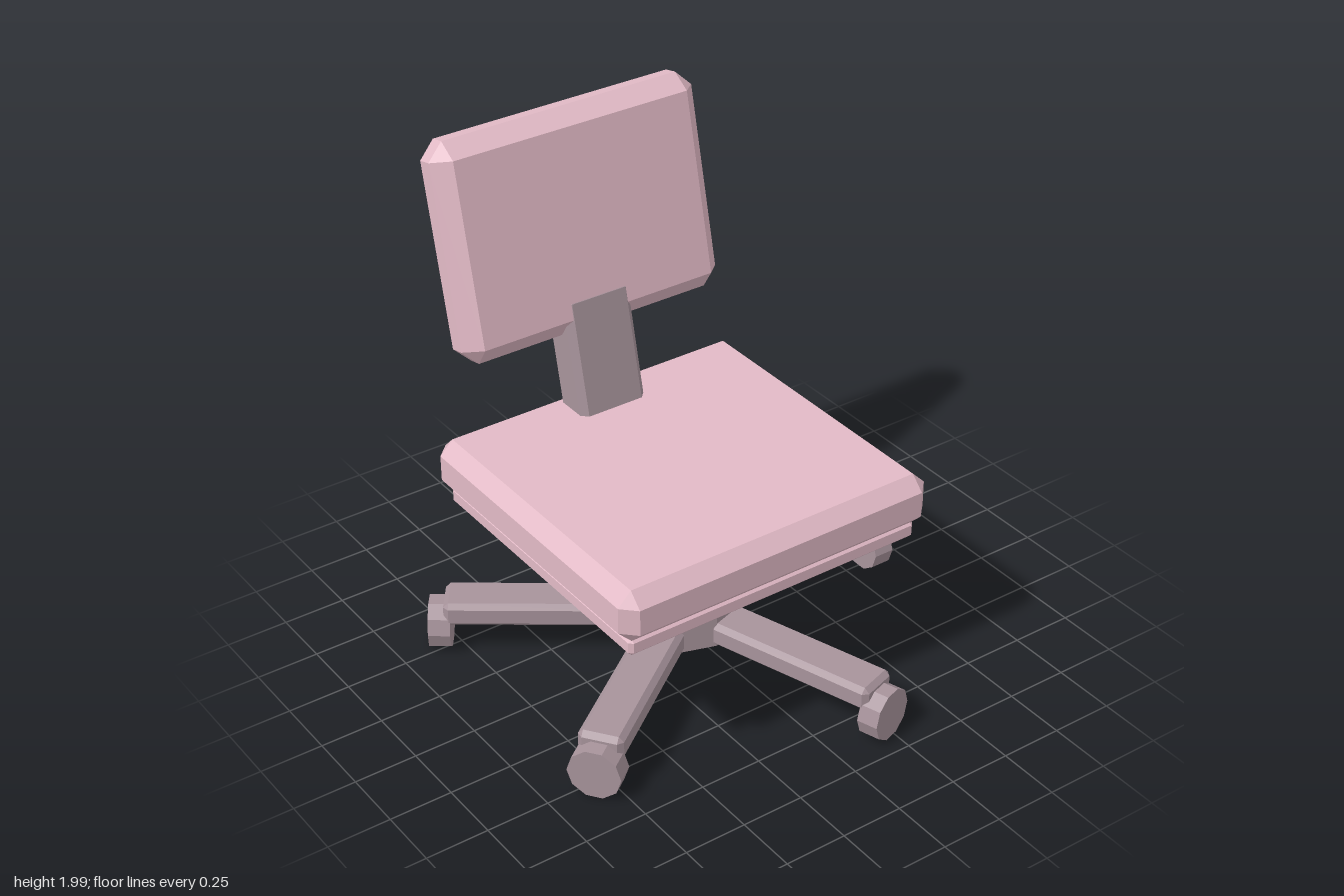
import * as THREE from 'three';
import { ConvexGeometry } from 'three/addons/geometries/ConvexGeometry.js';

const cushion = new THREE.MeshStandardMaterial({ name: 'pink upholstery', color: 0xe2bac6, flatShading: true });
const frame = new THREE.MeshStandardMaterial({ name: 'mauve grey frame', color: 0xa7939b, flatShading: true });
const metal = new THREE.MeshStandardMaterial({ name: 'pale lever', color: 0xd6cacd, flatShading: true });

// Box with every edge and corner cut off by one chamfer
function chamferBox(w, h, d, b) {
  const points = [];
  for (const i of [-0.5, 0.5]) for (const j of [-0.5, 0.5]) for (const k of [-0.5, 0.5]) {
    const [x, y, z] = [i * w, j * h, k * d];
    const [bx, by, bz] = [i, j, k].map((s) => Math.sign(s) * b);
    points.push(
      new THREE.Vector3(x, y - by, z - bz),
      new THREE.Vector3(x - bx, y, z - bz),
      new THREE.Vector3(x - bx, y - by, z));
  }
  return new ConvexGeometry(points);
}

function add(parent, name, geometry, material, x = 0, y = 0, z = 0) {
  const mesh = new THREE.Mesh(geometry, material);
  mesh.name = name;
  mesh.position.set(x, y, z);
  parent.add(mesh);
  return mesh;
}

export function createModel() {
  const chair = new THREE.Group();
  chair.name = 'officeChair';

  // Everything is built around the column axis
  const body = new THREE.Group();
  body.name = 'chairBody';
  body.position.x = -0.065;
  chair.add(body);

  // Seat
  add(body, 'seatCushion', chamferBox(1.36, 0.215, 1.29, 0.055), cushion, 0, 0.7525, 0);
  add(body, 'seatPan', chamferBox(1.275, 0.072, 1.2, 0.015), cushion, 0, 0.616, 0);
  add(body, 'tiltMechanism', chamferBox(0.58, 0.18, 0.645, 0.02), frame, 0, 0.505, -0.032);

  // Height lever beside the mechanism
  const lever = add(body, 'heightLever', new THREE.CylinderGeometry(0.035, 0.035, 0.375, 10), metal, 0.435, 0.51, 0.178);
  lever.rotation.x = Math.PI / 2;

  // Leaning backrest with its post
  const back = new THREE.Group();
  back.name = 'backAssembly';
  back.position.set(0, 1.572, -0.685);
  back.rotation.x = -0.222;
  body.add(back);
  add(back, 'backCushion', chamferBox(1.15, 0.855, 0.19, 0.065), cushion);
  add(back, 'backRail', chamferBox(1.08, 0.085, 0.05, 0.012), cushion, 0, -0.345, -0.079);
  add(back, 'backPost', chamferBox(0.29, 0.56, 0.165, 0.025), frame, 0, -0.555, 0.0145);

  // Column and hub
  add(body, 'gasColumn', new THREE.CylinderGeometry(0.14, 0.14, 0.2, 10), frame, 0, 0.35, 0);
  add(body, 'hub', new THREE.CylinderGeometry(0.235, 0.235, 0.145, 10), frame, 0, 0.2025, 0);

  // Five arms, each ending in a caster
  const armShape = chamferBox(0.705, 0.1, 0.175, 0.02);
  const casterShape = new THREE.CylinderGeometry(0.104, 0.104, 0.085, 10);
  casterShape.rotateZ(Math.PI / 2);
  for (let i = 0; i < 5; i++) {
    const leg = new THREE.Group();
    leg.name = 'leg' + (i + 1);
    leg.rotation.y = (i * Math.PI * 2) / 5;
    body.add(leg);
    add(leg, 'arm', armShape, frame, 0.5525, 0.183, 0);
    add(leg, 'caster', casterShape, frame, 0.9225, 0.104, 0);
  }
  return chair;
}
